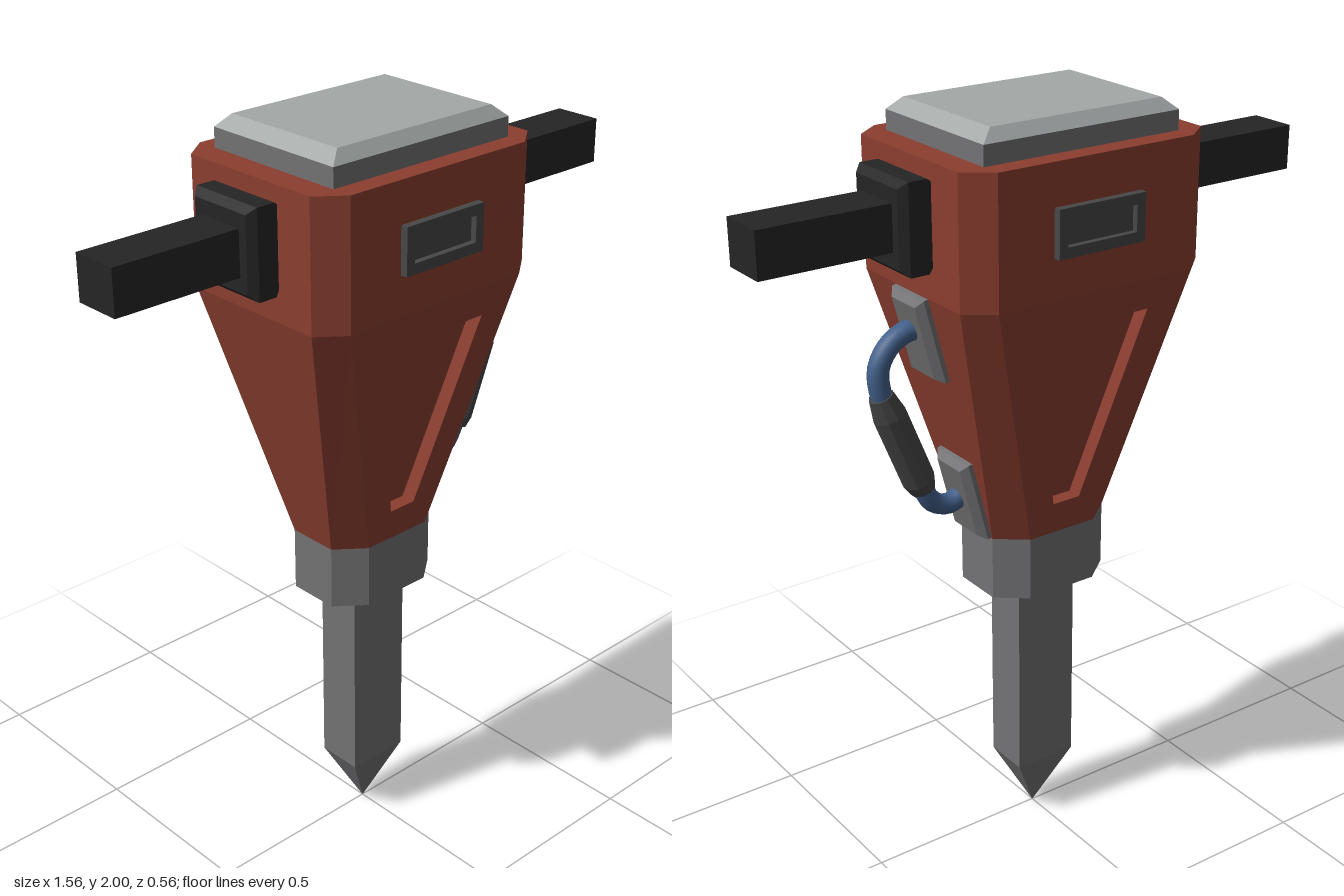
import * as THREE from 'three';

const mat = (name, color, side = THREE.FrontSide) => {
  const m = new THREE.MeshStandardMaterial({ color, side });
  m.name = name;
  return m;
};

// Cross-sections in the xz plane, counter-clockwise seen from above
const rect = (y, hx, hz) => [[-hx, y, hz], [hx, y, hz], [hx, y, -hz], [-hx, y, -hz]];
const octagon = (y, hx, hz, fx, fz) => [
  [fx, y, hz], [hx, y, fz], [hx, y, -fz], [fx, y, -hz],
  [-fx, y, -hz], [-hx, y, -fz], [-hx, y, fz], [-fx, y, hz],
];

// Flat-faced geometry from polygons, each split into a fan
function fromPolygons(polygons) {
  const pos = [];
  for (const p of polygons) {
    for (let i = 1; i < p.length - 1; i++) pos.push(...p[0], ...p[i], ...p[i + 1]);
  }
  const g = new THREE.BufferGeometry();
  g.setAttribute('position', new THREE.Float32BufferAttribute(pos, 3));
  g.computeVertexNormals();
  return g;
}

// Closed loft through rings from bottom to top; skip(level, side) leaves a face open
function loftPolygons(rings, skip = () => false) {
  const polys = [[...rings[0]].reverse(), rings[rings.length - 1]];
  for (let l = 0; l < rings.length - 1; l++) {
    const a = rings[l], b = rings[l + 1], n = a.length;
    for (let i = 0; i < n; i++) {
      const j = (i + 1) % n;
      if (!skip(l, i)) polys.push([a[i], a[j], b[j], b[i]]);
    }
  }
  return polys;
}
const loft = (rings) => fromPolygons(loftPolygons(rings));

// Sloping face with a sunken trapezoid; sign turns it to the back
function pocketPolygons(sign) {
  const at = (x, y, depth = 0) => [sign * x, y, sign * (0.13 + 0.13 * (y - 0.91) / 0.68 - depth)];
  const outer = [[-0.1, 0.91], [0.1, 0.91], [0.28, 1.59], [-0.28, 1.59]];
  const inner = [[-0.04, 1.0], [0.04, 1.0], [0.168, 1.507], [-0.168, 1.507]];
  const depth = 0.04;
  const polys = [inner.map(([x, y]) => at(x, y, depth))];
  for (let i = 0; i < 4; i++) {
    const j = (i + 1) % 4;
    polys.push([at(...outer[i]), at(...outer[j]), at(...inner[j]), at(...inner[i])]);
    polys.push([at(...inner[i]), at(...inner[j]), at(...inner[j], depth), at(...inner[i], depth)]);
  }
  return polys;
}

export function createModel() {
  const group = new THREE.Group();
  const red = mat('red paint', 0x8c3e30);
  const steel = mat('steel', 0x737274);
  const light = mat('light metal', 0xa4a9a8);
  const black = mat('black rubber', 0x252525);
  const dark = mat('dark grey', 0x474747);
  const blue = mat('blue tube', 0x43618c);

  const add = (name, geometry, material, parent = group) => {
    const m = new THREE.Mesh(geometry, material);
    m.name = name;
    parent.add(m);
    return m;
  };

  // Tapered housing with pockets in front and back
  const bodyRings = [
    octagon(0.91, 0.175, 0.13, 0.1, 0.07),
    octagon(1.59, 0.35, 0.26, 0.28, 0.205),
    octagon(1.92, 0.35, 0.26, 0.28, 0.205),
  ];
  add('housing', fromPolygons([
    ...loftPolygons(bodyRings, (l, i) => l === 0 && (i === 3 || i === 7)),
    ...pocketPolygons(1), ...pocketPolygons(-1),
  ]), red);

  // Top cap: steel rim and bevelled light lid
  add('capRim', loft([rect(1.915, 0.28, 0.205), rect(1.97, 0.28, 0.205)]), steel);
  add('capLid', loft([rect(1.97, 0.28, 0.205), rect(2, 0.245, 0.18)]), light);

  // Collar and chisel
  add('collar', loft([
    octagon(0.74, 0.175, 0.13, 0.1, 0.07), octagon(0.91, 0.175, 0.13, 0.1, 0.07),
  ]), steel);
  add('chisel', loft([
    rect(0, 0.0005, 0.0005), rect(0.175, 0.088, 0.063), rect(0.75, 0.088, 0.063),
  ]), steel);

  // Side handles with bevelled mounts
  for (const s of [1, -1]) {
    const handle = new THREE.Group();
    handle.name = s > 0 ? 'leftHandle' : 'rightHandle';
    handle.position.y = 1.773;
    handle.rotation.z = -s * Math.PI / 2;
    add('handleMount', loft([
      rect(0.34, 0.095, 0.09), rect(0.365, 0.112, 0.105),
      rect(0.415, 0.112, 0.105), rect(0.435, 0.095, 0.088),
    ]), black, handle);
    add('handleBar', loft([rect(0.42, 0.058, 0.064), rect(0.78, 0.058, 0.064)]), black, handle);
    group.add(handle);
  }

  // Framed vents front and back
  const frame = new THREE.Shape([[-0.125, -0.06], [0.125, -0.06], [0.125, 0.06], [-0.125, 0.06]]
    .map(([x, y]) => new THREE.Vector2(x, y)));
  frame.holes.push(new THREE.Path([[-0.1, -0.033], [-0.1, 0.033], [0.1, 0.033], [0.1, -0.033]]
    .map(([x, y]) => new THREE.Vector2(x, y))));
  const frameGeo = new THREE.ExtrudeGeometry(frame, { depth: 0.025, bevelEnabled: false });
  for (const s of [1, -1]) {
    const vent = new THREE.Group();
    vent.name = s > 0 ? 'frontVent' : 'backVent';
    vent.rotation.y = s > 0 ? 0 : Math.PI;
    add('ventFrame', frameGeo, dark, vent).position.set(0, 1.754, 0.255);
    add('ventFloor', new THREE.BoxGeometry(0.21, 0.075, 0.008), dark, vent).position.set(0, 1.754, 0.26);
    group.add(vent);
  }

  // Bevelled pads on the sloping left side
  const slope = Math.atan2(0.175, 0.68);
  const padGeo = loft([rect(-0.01, 0.113, 0.07), rect(0.012, 0.113, 0.07), rect(0.03, 0.098, 0.05)]);
  for (const [name, y] of [['upperPad', 1.478], ['lowerPad', 1.025]]) {
    const pad = add(name, padGeo, steel);
    pad.position.set(0.175 + (y - 0.91) * 0.175 / 0.68, y, 0);
    pad.rotation.z = -(Math.PI / 2 + slope);
  }

  // Curved tube and its grip
  const path = new THREE.CatmullRomCurve3([
    [0.31, 1.48], [0.355, 1.493], [0.41, 1.472], [0.447, 1.42], [0.446, 1.355],
    [0.39, 1.205], [0.335, 1.07], [0.306, 1.025], [0.262, 1.008], [0.21, 1.025],
  ].map(([x, y]) => new THREE.Vector3(x, y, 0)));
  add('carryTube', new THREE.TubeGeometry(path, 40, 0.027, 12), blue);

  const from = new THREE.Vector3(0.335, 1.07, 0), to = new THREE.Vector3(0.445, 1.345, 0);
  const dir = to.clone().sub(from), len = dir.length();
  const profile = [[0, -0.5], [0.034, -0.5], [0.042, -0.4], [0.042, 0.3], [0.031, 0.5], [0, 0.5]]
    .map(([r, t]) => new THREE.Vector2(r, t * len));
  const gripGeo = new THREE.LatheGeometry(profile, 10).toNonIndexed();
  gripGeo.computeVertexNormals();
  const grip = add('carryGrip', gripGeo, dark);
  grip.position.copy(from).add(to).multiplyScalar(0.5);
  grip.quaternion.setFromUnitVectors(new THREE.Vector3(0, 1, 0), dir.normalize());

  return group;
}
